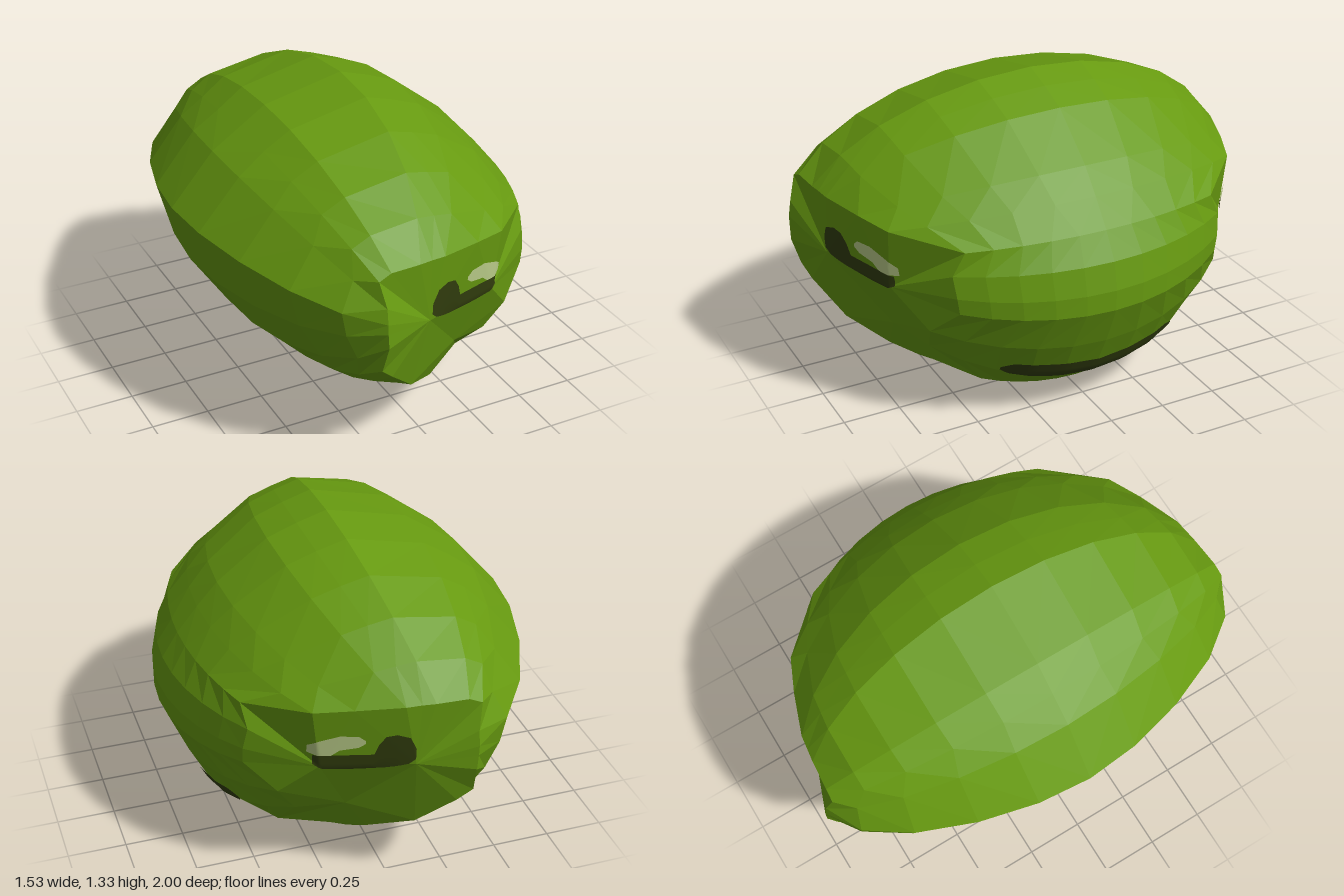
import * as THREE from 'three';

const bodyMat = new THREE.MeshStandardMaterial({ color: 0x679a10 });
bodyMat.name = 'leaf green';
const darkMat = new THREE.MeshStandardMaterial({ color: 0x333f0e });
darkMat.name = 'dark olive';
const glintMat = new THREE.MeshStandardMaterial({ color: 0xbfd18c });
glintMat.name = 'pale green';

// Spokes: outline x, y, then where the cheek ridge crosses the spoke (fraction, depth z)
const SPOKES = [
  [-0.77, 0.87, 0.16, 1], [-0.58, 1.09, 0.24, 0.99], [-0.46, 1.17, 0.43, 0.96], [-0.34, 1.25, 0.41, 0.955],
  [0.01, 1.33, 0.355, 0.945], [0.14, 1.29, 0.38, 0.938], [0.27, 1.24, 0.41, 0.93], [0.49, 1.07, 0.55, 0.865],
  [0.58, 0.97, 0.68, 0.8], [0.67, 0.86, 0.87, 0.57], [0.74, 0.75, 0.79, 0.62], [0.765, 0.63, 0.79, 0.61],
  [0.765, 0.54, 0.79, 0.6], [0.69, 0.36, 0.72, 0.68], [0.6, 0.18, 0.7, 0.65], [0.43, 0.05, 0.9, 0.42],
  [0.19, 0, 0.69, 0.71], [-0.03, 0.06, 0.63, 0.84], [-0.27, 0.15, 0.48, 0.935], [-0.4, 0.25, 0.46, 0.96],
  [-0.54, 0.37, 0.25, 1], [-0.7, 0.61, 0.18, 1],
];
const CX = -0.2, CY = 0.7;
const BANDS = 5; // bands from the middle seam to the ridge

// Cheek corners (behind eye, below eye, before eye) and the one each spoke runs to
const CHEEK = [[-0.06, 0.64, 0.92], [0.17, 0.37, 0.73], [0.3, 0.62, 0.79]];
const cheekCorner = (i) => (i >= 8 && i <= 13 ? 2 : i >= 14 && i <= 17 ? 1 : 0);

function makeBody() {
  const pos = [], index = [], n = SPOKES.length;
  for (const s of [1, -1]) {
    const base = pos.length / 3, cheek = base + (BANDS + 1) * n;
    const face = (a, b, c) => index.push(...(s > 0 ? [a, b, c] : [a, c, b]));

    // Rounded shell, slightly pinched at the back
    for (let k = 0; k <= BANDS; k++) {
      for (const [sx, sy, f, ridgeZ] of SPOKES) {
        const full = Math.acos(f), angle = full * k / BANDS, r = Math.cos(angle);
        const back = Math.min(1, Math.max(0, (-sx - 0.4) / 0.3));
        const z = ridgeZ * Math.sin(angle) / Math.sin(full) * (1 - 0.2 * back * r ** 4);
        pos.push(CX + (sx - CX) * r, CY + (sy - CY) * r, s * z);
      }
    }
    for (const [x, y, z] of CHEEK) pos.push(x, y, s * z);

    for (let i = 0; i < n; i++) {
      const j = (i + 1) % n;
      for (let k = 0; k < BANDS; k++) {
        const a = base + k * n + i, b = base + k * n + j;
        face(a, b + n, b);
        face(a, a + n, b + n);
      }
      // Flat cheek facets
      const a = base + BANDS * n + i, b = base + BANDS * n + j;
      const p = cheek + cheekCorner(i), q = cheek + cheekCorner(j);
      face(a, q, b);
      if (p !== q) face(a, p, q);
    }
    face(cheek, cheek + 1, cheek + 2);
  }
  const g = new THREE.BufferGeometry();
  g.setAttribute('position', new THREE.Float32BufferAttribute(pos, 3));
  g.setIndex(index);
  const flat = g.toNonIndexed();
  flat.computeVertexNormals();
  const mesh = new THREE.Mesh(flat, bodyMat);
  mesh.name = 'head';
  mesh.updateMatrixWorld(true);
  return mesh;
}

// Thin painted patch laid on the head; columns are [across, low, high]
function makePatch(name, head, columns, material, axis, side, lift) {
  const STEPS = 6, ROWS = 5, pos = [], index = [];
  const ray = new THREE.Raycaster();
  const dir = axis === 'z' ? new THREE.Vector3(0, 0, -side) : new THREE.Vector3(-1, 0, 0);
  const total = (columns.length - 1) * STEPS;
  for (let i = 0; i <= total; i++) {
    const c = Math.min(Math.floor(i / STEPS), columns.length - 2), t = i / STEPS - c;
    const [u, lo, hi] = columns[c].map((v, q) => v + (columns[c + 1][q] - v) * t);
    for (let j = 0; j <= ROWS; j++) {
      const v = lo + (hi - lo) * j / ROWS;
      const from = axis === 'z' ? new THREE.Vector3(u, v, 3 * side) : new THREE.Vector3(3, v, -u);
      ray.set(from, dir);
      const p = ray.intersectObject(head)[0].point.addScaledVector(dir, -lift);
      pos.push(p.x, p.y, p.z);
    }
  }
  for (let i = 0; i < total; i++) {
    for (let j = 0; j < ROWS; j++) {
      const a = i * (ROWS + 1) + j, b = a + ROWS + 1;
      if (side > 0) index.push(a, b, b + 1, a, b + 1, a + 1);
      else index.push(a, b + 1, b, a, a + 1, b + 1);
    }
  }
  const g = new THREE.BufferGeometry();
  g.setAttribute('position', new THREE.Float32BufferAttribute(pos, 3));
  g.setIndex(index);
  g.computeVertexNormals();
  const mesh = new THREE.Mesh(g, material);
  mesh.name = name;
  return mesh;
}

export function createModel() {
  const group = new THREE.Group();
  group.name = 'head model';
  const head = makeBody();
  group.add(head);

  // Eyes: a dark hooked shape with a pale glint, on both cheeks
  const eye = [
    [-0.055, 0.67, 0.72], [-0.03, 0.645, 0.775], [0.02, 0.63, 0.79], [0.06, 0.622, 0.78],
    [0.085, 0.62, 0.74], [0.1, 0.618, 0.69], [0.2, 0.61, 0.685], [0.29, 0.61, 0.68], [0.325, 0.63, 0.675],
  ];
  const glint = [
    [0.135, 0.745, 0.76], [0.16, 0.725, 0.78], [0.23, 0.71, 0.782],
    [0.26, 0.683, 0.77], [0.31, 0.678, 0.75], [0.345, 0.685, 0.72],
  ];
  for (const side of [1, -1]) {
    const label = side > 0 ? 'left' : 'right';
    group.add(makePatch(label + 'Eye', head, eye, darkMat, 'z', side, 0.006));
    group.add(makePatch(label + 'EyeGlint', head, glint, glintMat, 'z', side, 0.008));
  }

  // Mouth: a wide shallow smile
  const half = [[0.41, 0.245, 0.262], [0.36, 0.205, 0.28], [0.2, 0.165, 0.26]];
  const mouth = [...half.map(([u, a, b]) => [-u, a, b]), [0, 0.15, 0.245], ...half.slice().reverse()];
  group.add(makePatch('mouth', head, mouth, darkMat, 'x', 1, 0.008));
  return group;
}
